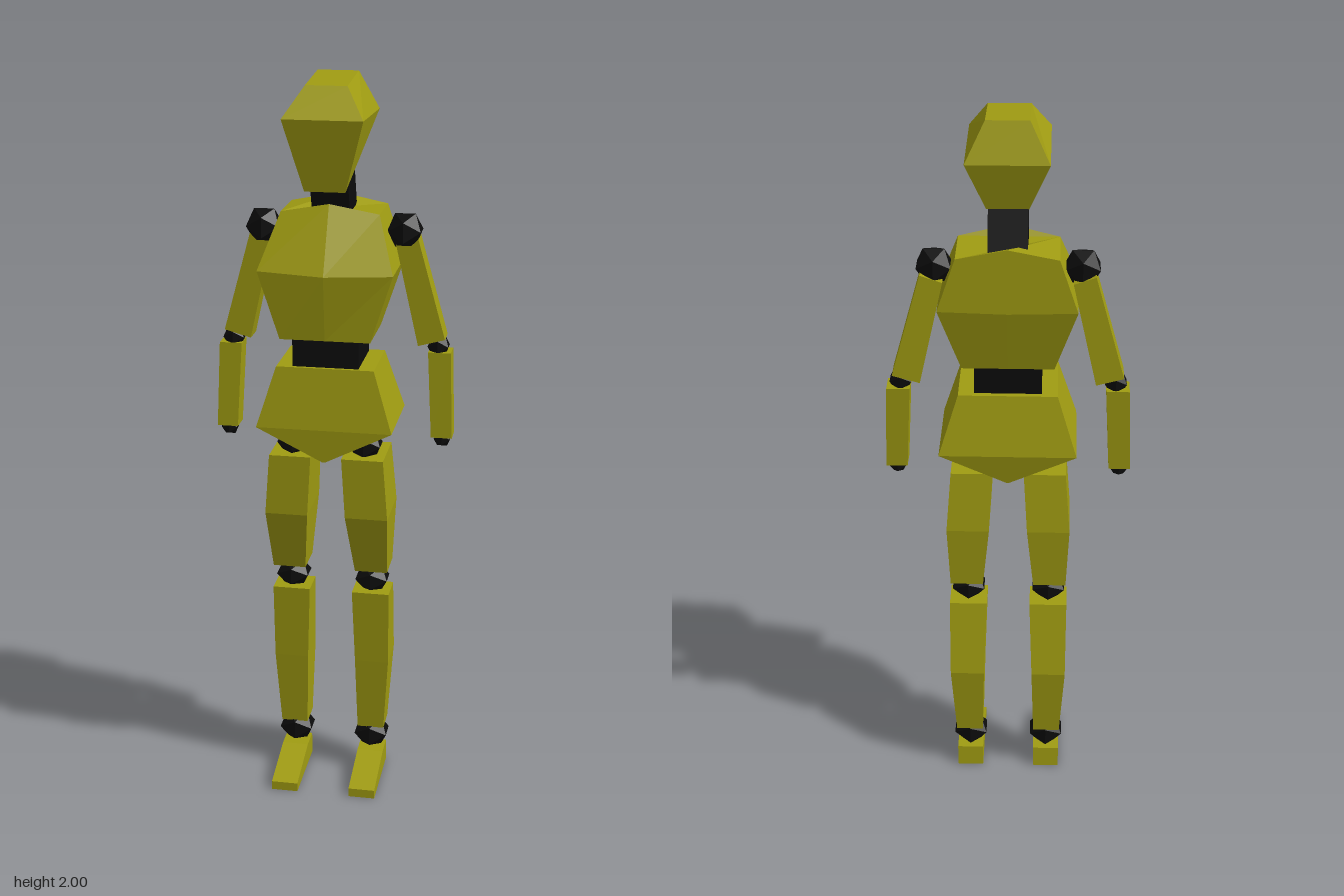
import * as THREE from 'three';

const shell = new THREE.MeshStandardMaterial({ color: 0xa09c12, flatShading: true });
const joint = new THREE.MeshStandardMaterial({ color: 0x0c0c0c, flatShading: true });

// Rectangular cross-section; front and back edges may sit at different heights.
const ring = (x0, x1, zb, zf, yb, yf = yb) => [
  [x0, yf, zf], [x1, yf, zf], [x1, yb, zb], [x0, yb, zb],
];

// Cross-section with an extra middle column, for a ridge along x = 0.
const ridged = (w, zb, zf, y, zMid = zf, yMid = y) => [
  [-w, y, zf], [0, yMid, zMid], [w, y, zf], [w, y, zb], [0, yMid, zb], [-w, y, zb],
];

// Faceted solid through cross-sections listed from bottom to top.
function loft(name, rings, material = shell) {
  const n = rings[0].length;
  const index = [];
  for (let r = 0; r < rings.length - 1; r++) {
    for (let i = 0; i < n; i++) {
      const j = (i + 1) % n;
      const a = r * n + i, b = r * n + j;
      index.push(a, b, b + n, a, b + n, a + n);
    }
  }
  const top = (rings.length - 1) * n;
  for (let i = 1; i < n - 1; i++) {
    index.push(0, i + 1, i, top, top + i, top + i + 1);
  }
  const geometry = new THREE.BufferGeometry();
  geometry.setAttribute('position', new THREE.Float32BufferAttribute(rings.flat(2), 3));
  geometry.setIndex(index);
  const flat = geometry.toNonIndexed();
  flat.computeVertexNormals();
  const mesh = new THREE.Mesh(flat, material);
  mesh.name = name;
  return mesh;
}

function ball(name, x, y, z, rx, ry = rx) {
  const mesh = new THREE.Mesh(new THREE.IcosahedronGeometry(1, 0), joint);
  mesh.name = name;
  mesh.position.set(x, y, z);
  mesh.scale.set(rx, ry, rx);
  return mesh;
}

// Limb from rows of [inner x, outer x, back z, front z, y, inner y], mirrored by side.
function limb(name, side, rows) {
  return loft(name, rows.map(([a, b, zb, zf, y, yInner = y]) => {
    const r = side > 0 ? ring(a, b, zb, zf, y) : ring(-b, -a, zb, zf, y);
    for (const p of r) if (Math.abs(p[0]) === a) p[1] = yInner;
    return r;
  }));
}

function createArm(side) {
  const arm = new THREE.Group();
  arm.name = side > 0 ? 'leftArm' : 'rightArm';
  arm.add(
    ball('shoulder', side * 0.188, 1.6, -0.045, 0.052),
    limb('upperArm', side, [
      [0.228, 0.3, -0.1, -0.035, 1.31, 1.29],
      [0.165, 0.222, -0.09, -0.03, 1.59, 1.57],
    ]),
    ball('elbow', side * 0.28, 1.285, -0.068, 0.033),
    limb('forearm', side, [
      [0.268, 0.325, -0.092, -0.032, 1.035],
      [0.255, 0.316, -0.1, -0.04, 1.272],
    ]),
    ball('wrist', side * 0.296, 1.026, -0.062, 0.026),
  );
  return arm;
}

function createLeg(side) {
  const leg = new THREE.Group();
  leg.name = side > 0 ? 'leftLeg' : 'rightLeg';
  leg.add(
    ball('hip', side * 0.098, 1.025, 0.02, 0.05, 0.045),
    limb('thigh', side, [
      [0.07, 0.16, -0.085, 0.02, 0.648],
      [0.052, 0.168, -0.095, 0.084, 0.83],
      [0.042, 0.155, -0.073, 0.087, 1.0],
    ]),
    ball('knee', side * 0.112, 0.612, -0.03, 0.052, 0.042),
    limb('shin', side, [
      [0.074, 0.149, -0.1, -0.02, 0.14],
      [0.068, 0.163, -0.12, -0.002, 0.36],
      [0.06, 0.164, -0.08, 0.01, 0.577],
    ]),
    ball('ankle', side * 0.11, 0.112, -0.055, 0.054, 0.05),
  );

  // Foot: side outline extruded across its width
  const outline = new THREE.Shape([
    [-0.095, 0], [0.138, 0], [0.138, 0.025], [-0.022, 0.062], [-0.09, 0.062],
  ].map(([z, y]) => new THREE.Vector2(z, y)));
  const geometry = new THREE.ExtrudeGeometry(outline, { depth: 0.074, bevelEnabled: false });
  geometry.translate(0, 0, -0.037).rotateY(-Math.PI / 2);
  const foot = new THREE.Mesh(geometry, shell);
  foot.name = 'foot';
  foot.position.x = side * 0.111;
  leg.add(foot);
  return leg;
}

export function createModel() {
  const model = new THREE.Group();
  model.name = 'mannequin';
  model.add(
    loft('head', [
      ring(-0.053, 0.053, -0.1, 0.095, 1.775, 1.72),
      ring(-0.104, 0.104, -0.136, 0.134, 1.9, 1.906),
      ring(-0.054, 0.054, -0.102, 0.072, 2.0, 1.983),
    ]),
    loft('neck', [
      ring(-0.05, 0.05, -0.11, 0.0, 1.64),
      ring(-0.05, 0.05, -0.055, 0.045, 1.79, 1.75),
    ], joint),
    loft('chest', [
      ridged(0.12, -0.09, 0.1, 1.33),
      ridged(0.178, -0.132, 0.104, 1.51, 0.122, 1.505),
      ridged(0.13, -0.128, 0.02, 1.652, 0.035, 1.678),
    ]),
    loft('waist', [
      ring(-0.088, 0.088, -0.085, 0.09, 1.24),
      ring(-0.088, 0.088, -0.085, 0.09, 1.34),
    ], joint),
    loft('pelvis', [
      ring(-0.004, 0.004, -0.115, 0.118, 1.0),
      ring(-0.182, 0.182, -0.132, 0.122, 1.09),
      ring(-0.13, 0.13, -0.1, 0.1, 1.255),
    ]),
  );
  for (const side of [1, -1]) model.add(createArm(side), createLeg(side));
  return model;
}
